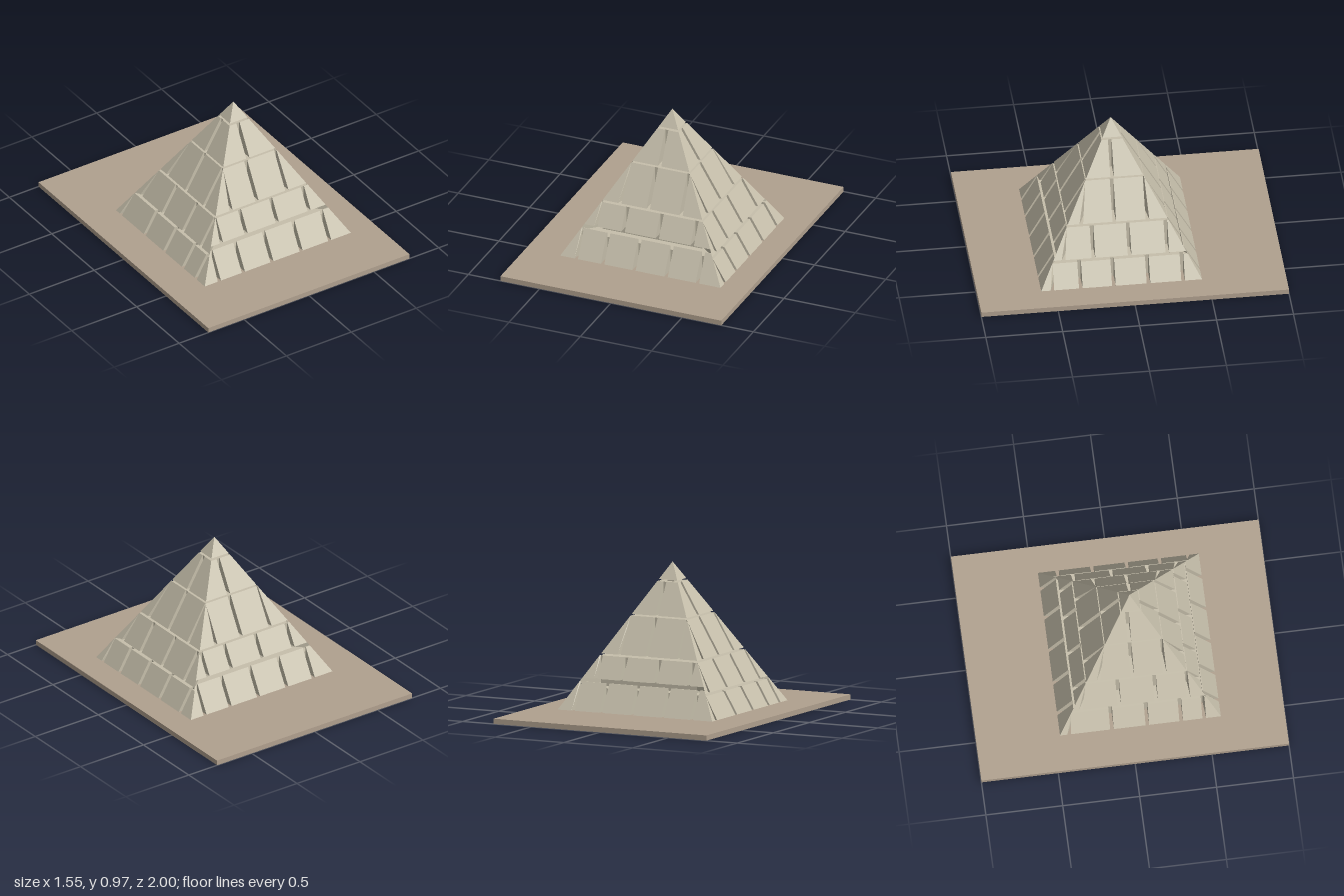
import * as THREE from 'three';

const HX = 0.565, HZ = 0.525, CX = 0.03, CZ = 0.065, BASE = 0.03, APEX = 0.97, GAP = 0.024;
const taper = y => (APEX - y) / (APEX - BASE); // 1 at the base, 0 at the apex

// One casing block: sloped outside, upright inside, ends mitred at the pyramid's edges
function blockGeometry(u0, u1, y0, y1, inner, halfU, halfD) {
  const g = new THREE.BoxGeometry(1, 1, 1);
  const p = g.attributes.position;
  for (let i = 0; i < p.count; i++) {
    const y = p.getY(i) > 0 ? y1 : y0;
    const t = p.getZ(i) > 0 ? taper(y) : inner;
    const u = THREE.MathUtils.clamp(p.getX(i) > 0 ? u1 : u0, -halfU * t, halfU * t);
    p.setXYZ(i, u, y, halfD * t);
  }
  const flat = g.toNonIndexed();
  flat.computeVertexNormals();
  return flat;
}

export function createModel() {
  const root = new THREE.Group();
  const stone = new THREE.MeshStandardMaterial({ color: 0xc6bfab, flatShading: true });
  const sand = new THREE.MeshStandardMaterial({ color: 0xb0a08e });
  const add = (parent, name, geo, mat, x = 0, y = 0, z = 0) => {
    const m = new THREE.Mesh(geo, mat);
    m.name = name;
    m.position.set(x, y, z);
    parent.add(m);
    return m;
  };

  // Ground slab
  add(root, 'groundSlab', new THREE.BoxGeometry(1.55, 0.034, 2), sand, 0, 0.017, 0);

  const pyramid = new THREE.Group();
  pyramid.name = 'pyramid';
  pyramid.position.set(CX, 0, CZ);
  root.add(pyramid);

  // Courses: heights on front/back (fb) and on the sides (lr), and joint positions per face
  const courses = [
    { fb: [0.03, 0.213], lr: [0.03, 0.182],
      front: [-0.42, -0.235, -0.015, 0.21, 0.43], back: [-0.38, -0.17, 0.055, 0.28, 0.48],
      left: [-0.335, -0.11, 0.115, 0.33, 0.515], right: [-0.4, -0.12, 0.11, 0.33, 0.48] },
    { fb: [0.235, 0.377], lr: [0.197, 0.377],
      front: [-0.33, -0.14, 0.1, 0.345], back: [-0.3, -0.055, 0.19, 0.375],
      left: [-0.245, 0, 0.235, 0.43], right: [-0.31, -0.06, 0.18, 0.39] },
    { fb: [0.389, 0.628], lr: [0.389, 0.628],
      front: [-0.2, 0, 0.23], back: [-0.18, 0.05, 0.25],
      left: [-0.13, 0.085, 0.3], right: [-0.18, 0.04, 0.25] },
    { fb: [0.638, 0.846], lr: [0.638, 0.846],
      front: [0.02], back: [0.05], left: [0.08], right: [0.04] },
  ];
  const faces = ['front', 'left', 'back', 'right']; // turned a quarter each, left is +x

  courses.forEach((c, n) => {
    const course = new THREE.Group();
    course.name = 'course' + (n + 1);
    pyramid.add(course);
    const inner = taper(c.fb[1]) - 0.01;

    // Upright core behind the joints
    const low = n ? courses[n - 1].lr[1] - 0.02 : BASE, high = c.lr[1] - 0.002;
    add(course, 'core', new THREE.BoxGeometry(2 * HX * inner, high - low, 2 * HZ * inner),
      stone, 0, (low + high) / 2, 0);

    faces.forEach((face, k) => {
      const alongX = k % 2 === 0;
      const [y0, y1] = alongX ? c.fb : c.lr;
      const sign = k === 0 || k === 3 ? 1 : -1;
      const joints = c[face].map(v => sign * (v - (alongX ? CX : CZ))).sort((a, b) => a - b);
      const side = new THREE.Group();
      side.name = face + 'Casing';
      side.rotation.y = k * Math.PI / 2;
      course.add(side);
      for (let i = 0; i <= joints.length; i++) {
        const u0 = i ? joints[i - 1] + GAP / 2 : -1;
        const u1 = i < joints.length ? joints[i] - GAP / 2 : 1;
        add(side, 'casingBlock', blockGeometry(u0, u1, y0, y1, inner,
          alongX ? HX : HZ, alongX ? HZ : HX), stone);
      }
    });
  });

  // Capstone on a short neck
  const tipY = 0.858, t = taper(tipY);
  const tip = new THREE.ConeGeometry(Math.SQRT1_2, 1, 4).rotateY(Math.PI / 4);
  tip.scale(2 * HX * t, APEX - tipY, 2 * HZ * t);
  add(pyramid, 'capstone', tip, stone, 0, (tipY + APEX) / 2, 0);
  add(pyramid, 'capstoneNeck', new THREE.BoxGeometry(0.05, 0.04, 0.05), stone, 0, 0.85, 0);

  return root;
}
